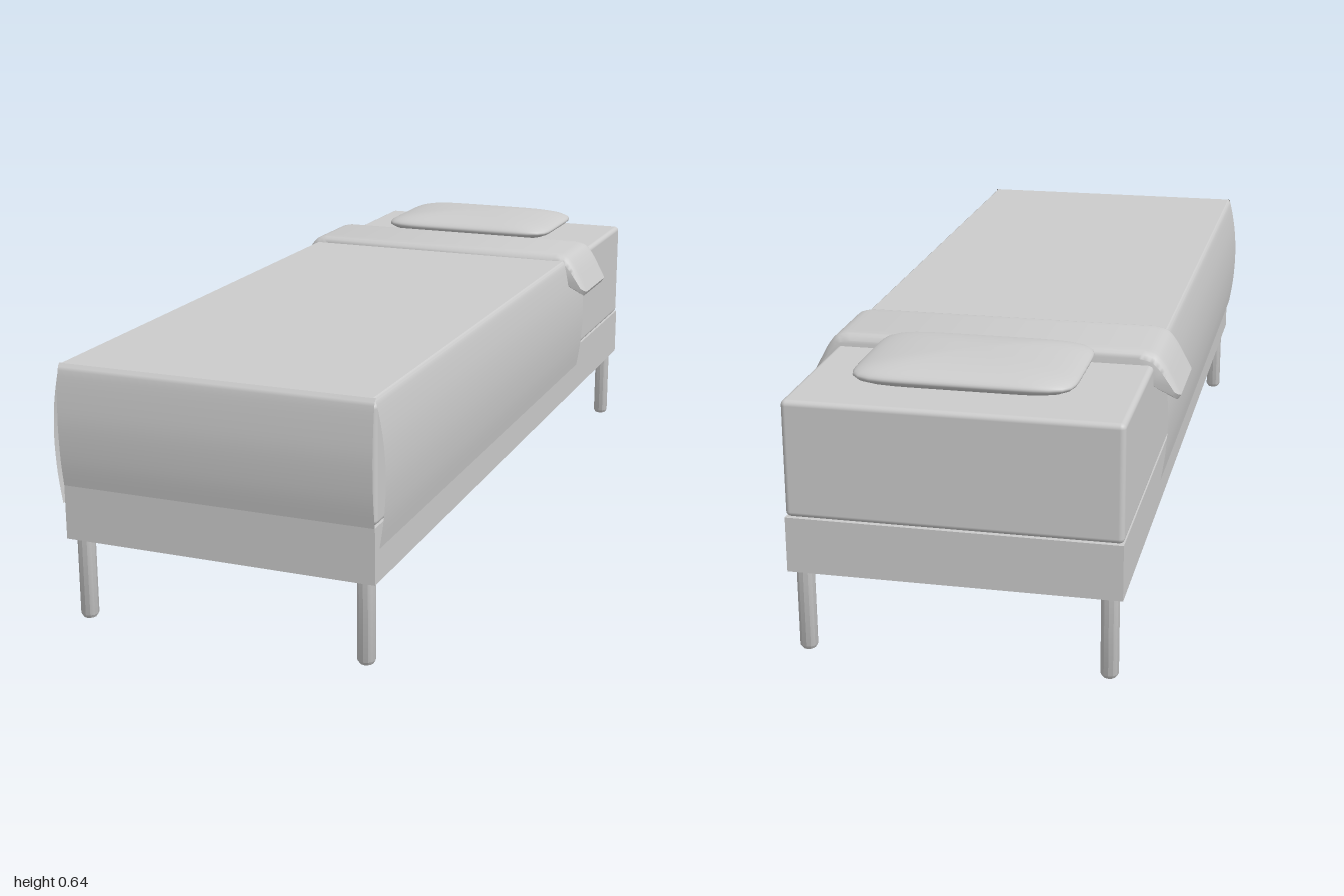
import * as THREE from 'three';
import { toCreasedNormals } from 'three/addons/utils/BufferGeometryUtils.js';
import { RoundedBoxGeometry } from 'three/addons/geometries/RoundedBoxGeometry.js';

const material = new THREE.MeshStandardMaterial({ color: 0xcccccc });
const cloth = new THREE.MeshStandardMaterial({ color: 0xcccccc, side: THREE.DoubleSide });

const vec = ([x, y]) => new THREE.Vector2(x, y);
const smooth = (pts, n) => new THREE.SplineCurve(pts.map(vec)).getPoints(n);
const mirrorX = (pts) => pts.map((p) => new THREE.Vector2(-p.x, p.y)).reverse();

// Open sheet: a 2D profile swept straight from a to b; place(p, t) gives the 3D point
function sheet(profile, a, b, place) {
  const geo = new THREE.PlaneGeometry(1, 1, 1, profile.length - 1);
  const pos = geo.attributes.position;
  for (let i = 0; i < pos.count; i++) {
    const p = profile[Math.floor(i / 2)];
    pos.setXYZ(i, ...place(p, i % 2 ? b : a));
  }
  return toCreasedNormals(geo, 0.6);
}

// Turned-down fold: thick strip with flared tips, rounded towards both ends
function foldGeometry() {
  const depth = 0.224;
  const outer = smooth([[0.34, 0.606], [0.368, 0.598], [0.388, 0.575], [0.405, 0.545], [0.424, 0.508]], 14);
  const half = [...outer, vec([0.417, 0.497]), vec([0.363, 0.531])];
  const shape = new THREE.Shape([...half, ...mirrorX(half)].reverse());
  const geo = new THREE.ExtrudeGeometry(shape, { depth, steps: 30, bevelEnabled: false });
  geo.translate(0, 0, -depth / 2);
  const pos = geo.attributes.position;
  for (let i = 0; i < pos.count; i++) {
    const k = Math.max(0, (Math.abs(pos.getZ(i)) - 0.09) / 0.022) ** 2;
    pos.setX(i, pos.getX(i) * (1 - 0.03 * k));
    pos.setY(i, 0.55 + (pos.getY(i) - 0.55) * (1 - 0.26 * k));
  }
  return toCreasedNormals(geo, 0.9);
}

// Pillow: a sphere squared off in plan and flattened
function pillowGeometry() {
  const geo = new THREE.SphereGeometry(1, 64, 32);
  const pos = geo.attributes.position;
  for (let i = 0; i < pos.count; i++) {
    const x = pos.getX(i), y = pos.getY(i), z = pos.getZ(i);
    const r = Math.hypot(x, z);
    const angle = Math.atan2(z, x);
    const n = 7;
    const s = r / (Math.abs(Math.cos(angle)) ** n + Math.abs(Math.sin(angle)) ** n) ** (1 / n);
    pos.setXYZ(i, Math.cos(angle) * s * 0.242, y * 0.034, Math.sin(angle) * s * 0.162);
  }
  geo.computeVertexNormals();
  return geo;
}

export function createModel() {
  const group = new THREE.Group();
  const add = (name, geo, x = 0, y = 0, z = 0, mat = material) => {
    const mesh = new THREE.Mesh(geo, mat);
    mesh.name = name;
    mesh.position.set(x, y, z);
    group.add(mesh);
    return mesh;
  };
  const W = 0.364, back = -0.998, front = 0.987;
  const length = front - back, midZ = (front + back) / 2;

  // Frame: thin rails around a recessed base panel
  const wall = 0.005;
  for (const s of [-1, 1]) {
    add(s > 0 ? 'leftRail' : 'rightRail', new THREE.BoxGeometry(wall, 0.125, length), s * (W - wall / 2), 0.2525, midZ);
    add(s > 0 ? 'footRail' : 'headRail', new THREE.BoxGeometry(2 * W - 2 * wall, 0.125, wall), 0, 0.2525, midZ + s * (length - wall) / 2);
  }
  add('basePanel', new THREE.BoxGeometry(2 * W - 2 * wall, 0.012, length - 2 * wall), 0, 0.308, midZ);

  // Legs with a small chamfer at the foot
  const legProfile = [[0, 0], [0.015, 0], [0.02, 0.008], [0.02, 0.303]].map(vec);
  const leg = toCreasedNormals(new THREE.LatheGeometry(legProfile, 12), 0.6);
  for (const x of [-0.333, 0.333])
    for (const z of [0.957, -0.968])
      add(z > 0 ? 'frontLeg' : 'backLeg', leg, x, 0, z);

  // Mattress
  add('mattress', new RoundedBoxGeometry(2 * W, 0.262, 1.976, 4, 0.012), 0, 0.446, -0.008);

  // Blanket: top with bulging side drops, and a tucked front drop
  const side = smooth([[0.372, 0.27], [0.382, 0.34], [0.386, 0.42], [0.381, 0.5], [0.367, 0.575], [0.358, 0.59]], 20);
  add('blanket', sheet([...mirrorX(side).reverse(), ...side.slice().reverse()], -0.52, 0.982, (p, t) => [p.x, p.y, t]), 0, 0, 0, cloth);
  const drop = smooth([[0.98, 0.59], [0.989, 0.575], [0.997, 0.51], [1, 0.45], [0.996, 0.375], [0.987, 0.314]], 20);
  add('blanketFront', sheet(drop, -W, W, (p, t) => [t, p.y, p.x]), 0, 0, 0, cloth);

  add('blanketFold', foldGeometry(), 0, 0, -0.503);
  add('pillow', pillowGeometry(), 0, 0.611, -0.768);
  return group;
}
